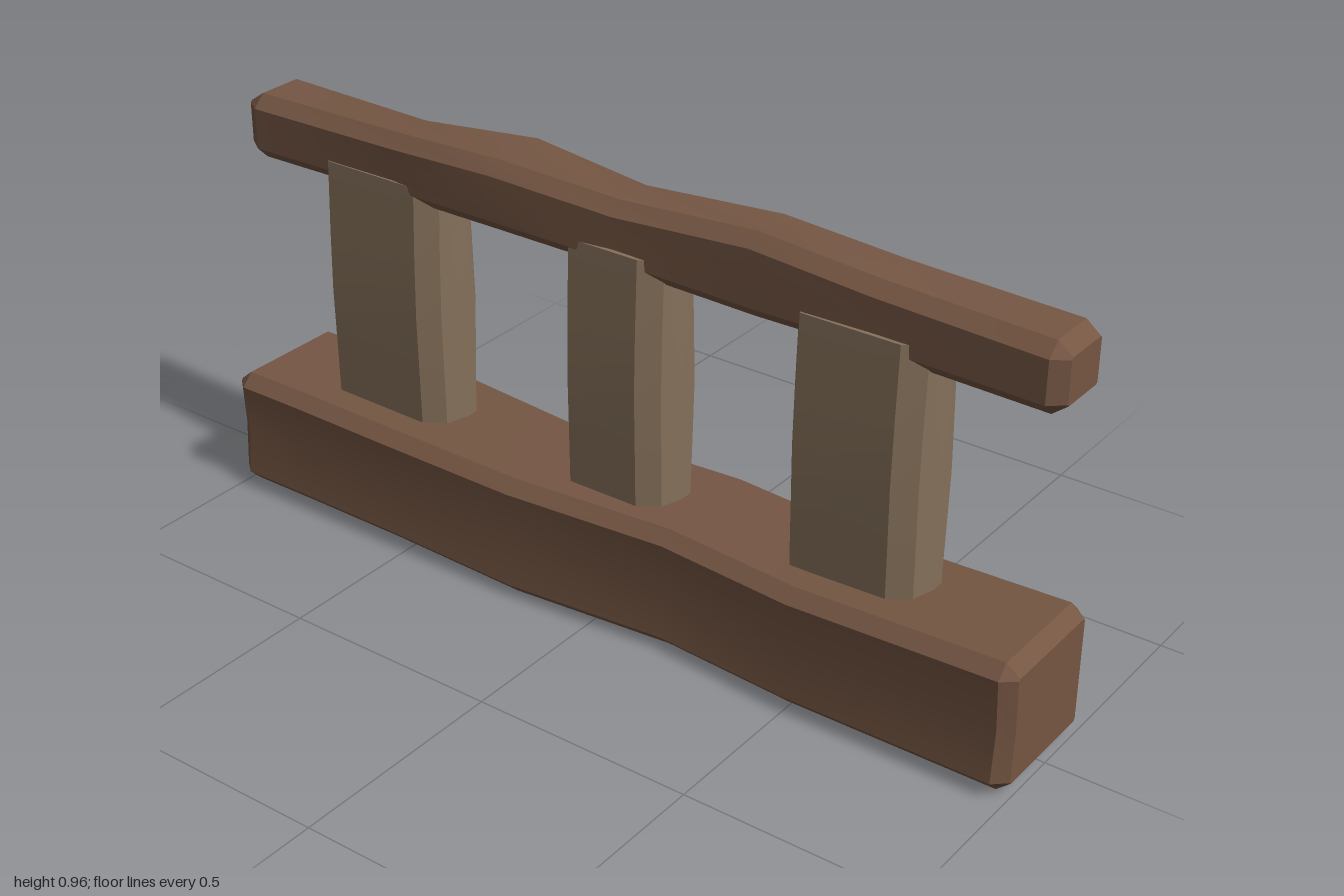
import * as THREE from 'three';
import { toCreasedNormals } from 'three/addons/utils/BufferGeometryUtils.js';

// Skin a list of equal-length point rings and close both ends with fans.
function loft(rings) {
  const n = rings[0].length, last = rings.length - 1;
  const index = [];
  for (let r = 0; r < last; r++) {
    for (let i = 0; i < n; i++) {
      const j = (i + 1) % n, a = r * n, b = a + n;
      index.push(a + i, a + j, b + j, a + i, b + j, b + i);
    }
  }
  for (let i = 1; i < n - 1; i++) {
    index.push(0, i + 1, i);
    index.push(last * n, last * n + i, last * n + i + 1);
  }
  const g = new THREE.BufferGeometry();
  g.setAttribute('position', new THREE.Float32BufferAttribute(rings.flat(2), 3));
  g.setIndex(index);
  return toCreasedNormals(g, 0.4);
}

// Chamfered beam section at x; waists pull the mid-height of each face inward.
function beamRing(x, yb, yt, zb, zf, c, waistB, waistF) {
  const ym = (yb + yt) / 2;
  return [
    [yb + c, zb], [ym, zb + waistB], [yt - c, zb], [yt, zb + c], [yt, zf - c],
    [yt - c, zf], [ym, zf - waistF], [yb + c, zf], [yb, zf - c], [yb, zb + c],
  ].map(([y, z]) => [x, y, z]);
}

// Beam along x from stations [x, yBottom, yTop, zBack, zFront], with bevelled ends.
function beam(stations, c, endX, waistB, waistF) {
  const rings = stations.map((s) => beamRing(...s, c, waistB, waistF));
  const cap = (s, x) => beamRing(x, s[1] + c * 0.9, s[2] - c * 0.9,
    s[3] + c * 0.9, s[4] - c * 0.9, c * 0.15, waistB, waistF * 0.6);
  rings.unshift(cap(stations[0], -endX));
  rings.push(cap(stations[stations.length - 1], endX));
  return loft(rings);
}

// Plank section at height y, with chamfered edges and a faint front ridge.
function postRing(y, x0, x1, zb, zf) {
  return [
    [zb + 0.03, x0], [zf - 0.03, x0], [zf, x0 + 0.02], [zf, x1 - 0.06],
    [zf - 0.03, x1 - 0.015], [zf - 0.08, x1], [zb + 0.035, x1], [zb, x1 - 0.03], [zb, x0 + 0.03],
  ].map(([z, x]) => [x, y, z]);
}

export function createModel() {
  const model = new THREE.Group();
  const darkWood = new THREE.MeshStandardMaterial({ color: 0x755643 });
  const paleWood = new THREE.MeshStandardMaterial({ color: 0x85705a });
  const add = (name, geometry, material) => {
    const mesh = new THREE.Mesh(geometry, material);
    mesh.name = name;
    model.add(mesh);
  };

  // Heavy bottom beam
  add('bottomBeam', beam([
    [-0.97, 0.015, 0.29, -0.14, 0.168],
    [-0.8, 0.015, 0.29, -0.142, 0.168],
    [-0.54, 0.013, 0.286, -0.168, 0.168],
    [-0.2, 0.003, 0.283, -0.14, 0.168],
    [0.18, 0.005, 0.283, -0.168, 0.137],
    [0.5, 0.012, 0.286, -0.14, 0.168],
    [0.97, 0.012, 0.302, -0.14, 0.168],
  ], 0.028, 1, 0.025, 0.01), darkWood);

  // Wavy top rail
  add('topRail', beam([
    [-0.96, 0.788, 0.936, -0.085, 0.075],
    [-0.57, 0.79, 0.938, -0.07, 0.07],
    [-0.28, 0.81, 0.965, -0.085, 0.103],
    [0, 0.787, 0.937, -0.078, 0.065],
    [0.33, 0.786, 0.965, -0.075, 0.074],
    [0.6, 0.785, 0.94, -0.09, 0.066],
    [0.965, 0.78, 0.928, -0.092, 0.07],
  ], 0.028, 0.997, 0, 0), darkWood);

  // Three upright planks, slightly thicker at mid-height
  const posts = [['rightPost', -0.77, -0.45], ['middlePost', -0.12, 0.13], ['leftPost', 0.43, 0.73]];
  for (const [name, x0, x1] of posts) {
    add(name, loft([
      postRing(0.24, x0, x1, -0.065, 0.078),
      postRing(0.4, x0, x1, -0.071, 0.081),
      postRing(0.54, x0, x1, -0.076, 0.084),
      postRing(0.68, x0, x1, -0.071, 0.081),
      postRing(0.84, x0, x1, -0.063, 0.075),
    ]), paleWood);
  }
  return model;
}
